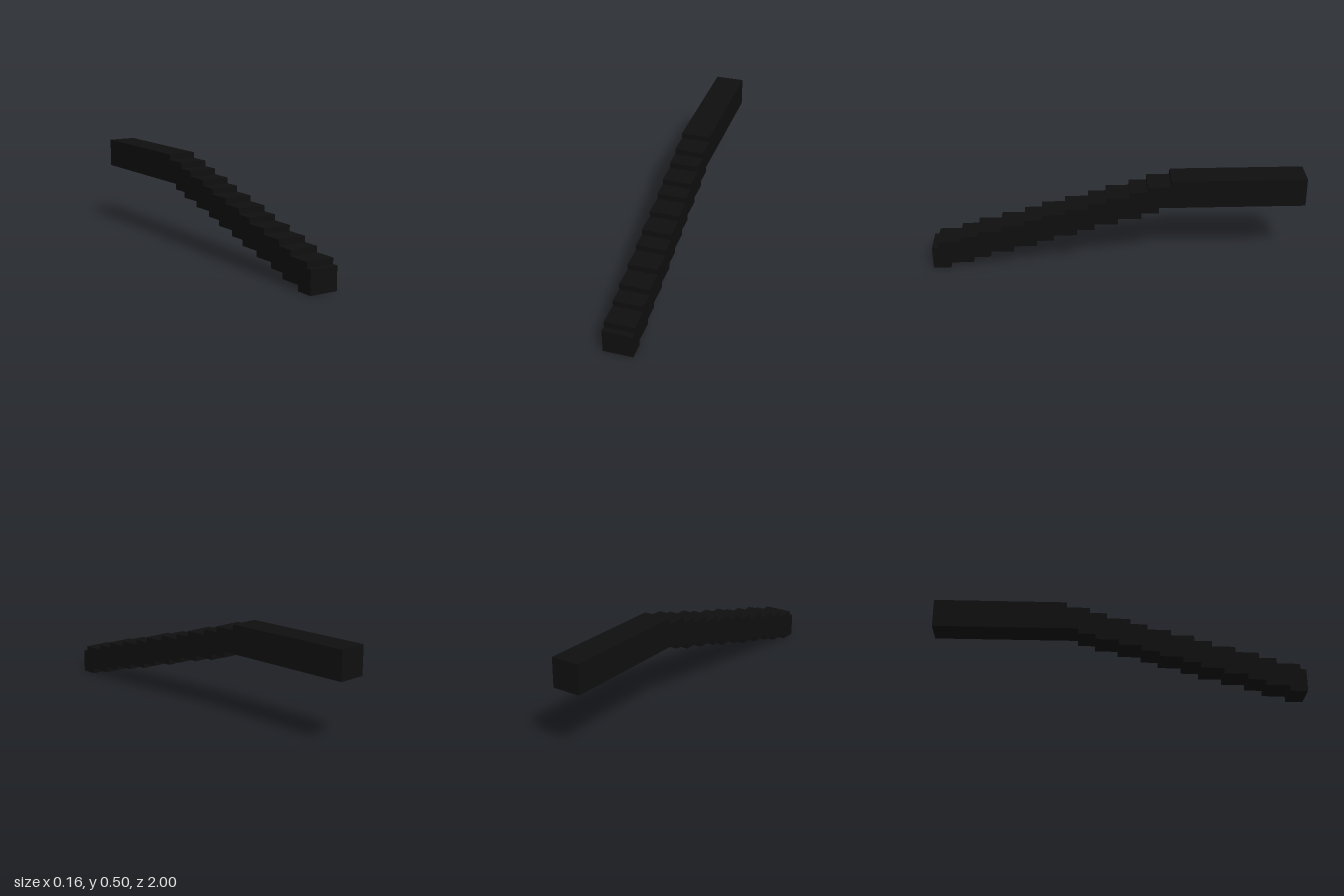
import * as THREE from 'three';

const U = 1 / 32; // one block unit
const LENGTH = 64, WIDTH = 5;

// Distance from the front end at which each edge rises by one unit
const TOP_RISES = [1, 5, 8, 12, 16, 19, 23, 27, 30, 34, 37, 41];
const BOTTOM_RISES = [3, 7, 10, 14, 18, 21, 25, 28, 32, 36, 39];

// Staircase line from the front end to the back end
function stairs(startHeight, rises) {
  const points = [[0, startHeight]];
  let height = startHeight;
  for (const d of rises) {
    points.push([d, height], [d, ++height]);
  }
  points.push([LENGTH, height]);
  return points.map(([d, h]) => new THREE.Vector2(d * U, h * U));
}

export function createModel() {
  const group = new THREE.Group();
  group.name = 'steppedBar';

  const black = new THREE.MeshStandardMaterial({ color: 0x0f0f0f });
  black.name = 'black';

  // Side profile: bottom edge to the back, then the top edge to the front
  const profile = new THREE.Shape([
    ...stairs(0, BOTTOM_RISES),
    ...stairs(4, TOP_RISES).reverse(),
  ]);
  const geometry = new THREE.ExtrudeGeometry(profile, { depth: WIDTH * U, bevelEnabled: false });
  geometry.translate(-LENGTH * U / 2, 0, -WIDTH * U / 2);
  geometry.rotateY(Math.PI / 2); // profile runs from +z (front) to -z (back)

  const bar = new THREE.Mesh(geometry, black);
  bar.name = 'bar';
  group.add(bar);
  return group;
}
